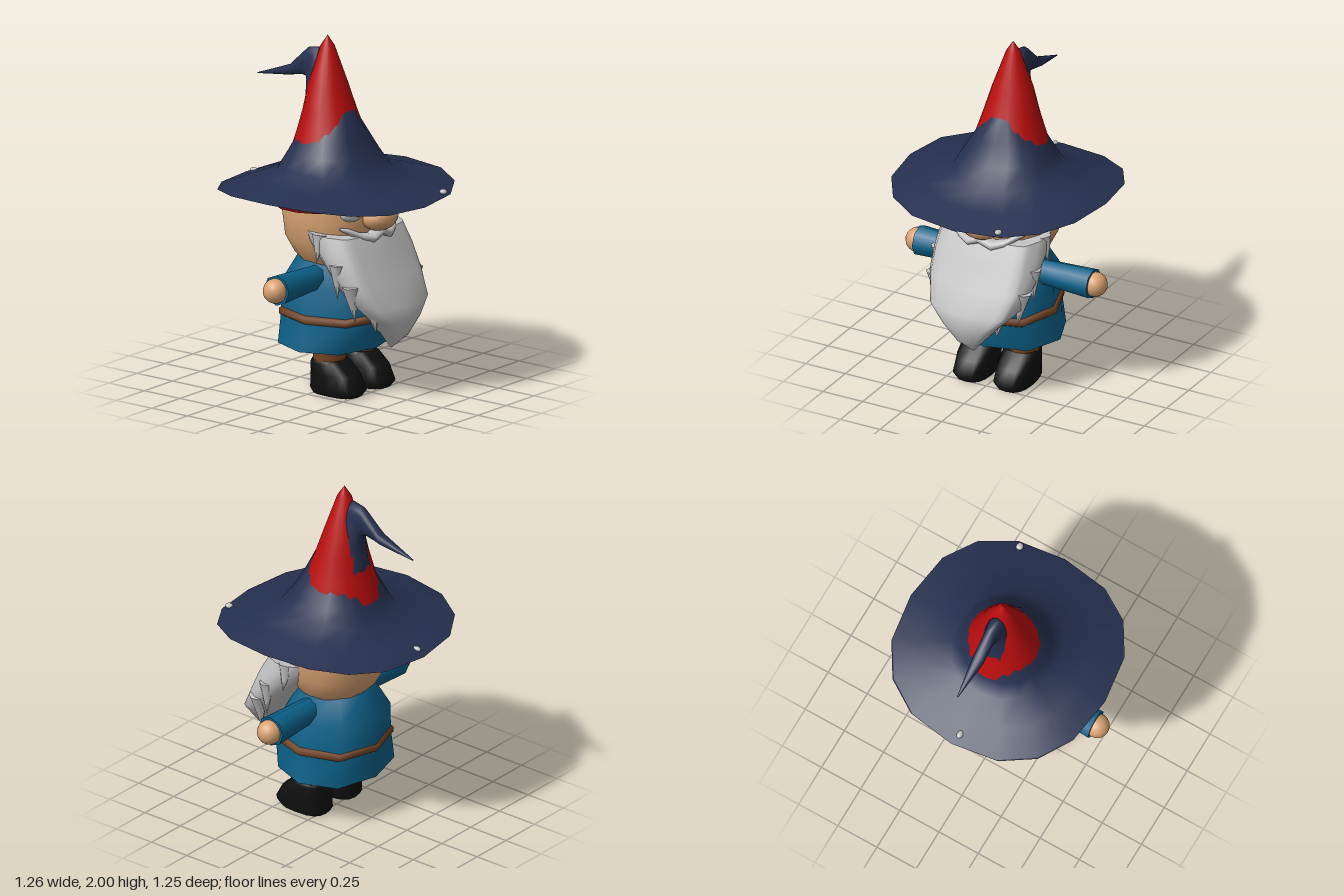
import * as THREE from 'three';

const mat = (name, color, side = THREE.FrontSide) => {
  const m = new THREE.MeshStandardMaterial({ color, side });
  m.name = name;
  return m;
};

// Skin rings, listed from bottom to top: [front z, front y, back z, back y, half width, side lift]
function loft(rings, { sides = 16, power = 2, caps = true, ripple = 0, waves = 8 } = {}) {
  const pos = [], idx = [], e = 2 / power;
  const bend = t => Math.sign(t) * Math.abs(t) ** e;
  const addRing = ([zf, yf, zb, yb, rx, lift = 0]) => {
    for (let j = 0; j < sides; j++) {
      const a = (j / sides) * Math.PI * 2, k = 1 + ripple * Math.cos(a * waves);
      const s = bend(Math.sin(a)) * k, c = bend(Math.cos(a)) * k;
      pos.push(rx * s, (yf + yb) / 2 + c * (yf - yb) / 2 + lift * Math.sin(a) ** 2, (zf + zb) / 2 + c * (zf - zb) / 2);
    }
  };
  rings.forEach(addRing);
  for (let i = 0; i < rings.length - 1; i++) {
    for (let j = 0; j < sides; j++) {
      const a = i * sides + j, b = i * sides + (j + 1) % sides;
      idx.push(a, b, b + sides, a, b + sides, a + sides);
    }
  }
  if (caps) {
    [rings[0], rings[rings.length - 1]].forEach((r, top) => {
      const start = pos.length / 3;
      addRing(r);
      pos.push(0, (r[1] + r[3]) / 2, (r[0] + r[2]) / 2);
      for (let j = 0; j < sides; j++) {
        const a = start + j, b = start + (j + 1) % sides;
        idx.push(...(top ? [a, b, start + sides] : [b, a, start + sides]));
      }
    });
  }
  const g = new THREE.BufferGeometry();
  g.setAttribute('position', new THREE.Float32BufferAttribute(pos, 3));
  g.setIndex(idx);
  g.computeVertexNormals();
  return g;
}

export function createModel() {
  const group = new THREE.Group();
  const red = mat('red felt', 0xbb0d0d);
  const navy = mat('navy felt', 0x25304f, THREE.DoubleSide);
  const teal = mat('teal cloth', 0x0b6189, THREE.DoubleSide);
  const skin = mat('skin', 0xd9a271);
  const brown = mat('brown leather', 0x734322);
  const black = mat('black boot', 0x0f0f0f);
  const grey = mat('beard grey', 0xc2c2c2, THREE.DoubleSide);

  const add = (name, geometry, material, x = 0, y = 0, z = 0) => {
    const m = new THREE.Mesh(geometry, material);
    m.name = name;
    m.position.set(x, y, z);
    group.add(m);
    return m;
  };
  const ball = (name, material, p, s) => {
    const m = add(name, new THREE.SphereGeometry(1, 16, 12), material, ...p);
    m.scale.set(...s);
    return m;
  };

  // Body, tunic and belt
  add('body', loft([[0.13, 0.24, -0.13, 0.24, 0.14], [0.21, 0.3, -0.21, 0.3, 0.23], [0.2, 0.5, -0.2, 0.5, 0.23],
    [0.15, 0.76, -0.15, 0.76, 0.17]], { sides: 12 }), skin);
  add('tunic', loft([[0.285, 0.265, -0.28, 0.265, 0.33], [0.325, 0.44, -0.28, 0.44, 0.3], [0.27, 0.62, -0.28, 0.62, 0.28],
    [0.185, 0.77, -0.19, 0.77, 0.2]], { sides: 8, power: 2.4, caps: false }), teal);
  add('belt', loft([[0.32, 0.42, -0.275, 0.42, 0.3], [0.335, 0.43, -0.29, 0.43, 0.315], [0.335, 0.46, -0.29, 0.46, 0.315],
    [0.31, 0.47, -0.275, 0.47, 0.295]], { sides: 8, power: 2.4, caps: false }), brown);

  // Head and nose
  add('head', loft([[0.17, 0.72, -0.15, 0.72, 0.18], [0.22, 0.78, -0.21, 0.78, 0.23], [0.28, 0.88, -0.265, 0.88, 0.28],
    [0.3, 1.02, -0.28, 1.02, 0.3], [0.29, 1.15, -0.27, 1.15, 0.29]], { sides: 16, power: 2.2 }), skin);
  ball('nose', skin, [0, 1.025, 0.31], [0.12, 0.077, 0.092]);

  // Paired parts: eyes, arms, hands, legs and boots
  const boot = loft([[0.26, 0.005, -0.03, 0.005, 0.09], [0.29, 0.045, -0.045, 0.03, 0.106], [0.245, 0.125, -0.04, 0.13, 0.104],
    [0.17, 0.185, -0.037, 0.185, 0.1], [0.15, 0.2, -0.03, 0.2, 0.09]], { sides: 16, power: 2.7 });
  for (const s of [-1, 1]) {
    ball('eyeWhite', grey, [s * 0.165, 1.06, 0.243], [0.068, 0.042, 0.03]).rotation.y = s * 0.5;
    ball('iris', brown, [s * 0.152, 1.068, 0.262], [0.036, 0.034, 0.02]).rotation.y = s * 0.5;
    const sleeve = add('sleeve', new THREE.CylinderGeometry(0.087, 0.07, 0.35, 8), teal, s * 0.375, 0.67, 0.02);
    sleeve.rotation.z = -s * Math.PI / 2;
    ball('hand', skin, [s * 0.56, 0.67, 0.02], [0.07, 0.07, 0.07]);
    add('leg', new THREE.CylinderGeometry(0.092, 0.092, 0.22, 12), brown, s * 0.13, 0.27, 0.06);
    add('boot', boot, black, s * 0.128, 0, 0);
  }

  // Beard mass with a wavy surface, plus pointed locks along its rim
  add('beard', loft([[0.39, 0.285, 0.39, 0.285, 0.001], [0.475, 0.36, 0.35, 0.38, 0.075], [0.51, 0.46, 0.28, 0.5, 0.17],
    [0.505, 0.55, 0.2, 0.62, 0.27], [0.43, 0.68, 0.12, 0.76, 0.315], [0.37, 0.82, 0.02, 0.87, 0.32],
    [0.31, 0.935, -0.06, 0.965, 0.31]], { sides: 32, power: 3, ripple: 0.025 }), grey);
  const locks = [[0.16, 0.5, 0.4, 0.06, 0.2, 0.1], [0.26, 0.58, 0.33, 0.055, 0.22, 0.15], [0.3, 0.7, 0.25, 0.045, 0.2, 0],
    [0.305, 0.87, 0.12, 0.045, 0.16, -0.2]];
  for (const s of [-1, 1]) {
    for (const [x, y, z, r, h, tilt] of locks) {
      const lock = add('beardLock', new THREE.ConeGeometry(r, h, 7), grey, s * x, y, z);
      lock.rotation.set(Math.PI, 0, s * tilt);
    }
  }

  // Moustache: a long ellipsoid bent round the face with raised ends
  const moustache = new THREE.SphereGeometry(1, 24, 10);
  moustache.rotateZ(Math.PI / 2);
  const p = moustache.attributes.position;
  for (let i = 0; i < p.count; i++) {
    const x = p.getX(i) * 0.24, u = Math.abs(p.getX(i));
    p.setXYZ(i, x, p.getY(i) * 0.03 - 0.035 * Math.sin(u * 4.5), p.getZ(i) * 0.045 - x * x * 1.7);
  }
  moustache.computeVertexNormals();
  add('moustache', moustache, grey, 0, 0.95, 0.31);

  // Inner red hat: rolled band and tall cone
  add('hatBand', loft([[0.29, 1.1, -0.28, 1.05, 0.29], [0.345, 1.09, -0.34, 1.045, 0.345], [0.357, 1.15, -0.352, 1.11, 0.355],
    [0.32, 1.19, -0.32, 1.17, 0.32]]), red);
  add('redCone', loft([[0.24, 1.26, -0.27, 1.26, 0.25], [0.2, 1.36, -0.258, 1.34, 0.228], [0.155, 1.46, -0.217, 1.46, 0.195],
    [0.107, 1.58, -0.185, 1.58, 0.158], [0.06, 1.72, -0.16, 1.72, 0.118], [-0.015, 1.94, -0.095, 1.94, 0.04],
    [-0.055, 2, -0.055, 2, 0.002]], { sides: 20 }), red);

  // Outer navy hat: underside, then brim, crown and the bent tip
  const edge = [0.628, 1.13, -0.62, 1.12, 0.62, 0.05];
  add('brimUnderside', loft([[0.3, 1.155, -0.3, 1.14, 0.3], edge], { power: 2.4, caps: false }), navy);
  add('outerHat', loft([edge, [0.46, 1.185, -0.46, 1.18, 0.46, 0.04], [0.31, 1.235, -0.32, 1.235, 0.295, 0.035],
    [0.225, 1.35, -0.26, 1.335, 0.25, 0.01], [0.165, 1.46, -0.212, 1.43, 0.194], [0.113, 1.58, -0.195, 1.57, 0.115],
    [-0.02, 1.74, -0.182, 1.64, 0.085], [-0.09, 1.88, -0.185, 1.71, 0.055], [-0.11, 1.922, -0.195, 1.74, 0.045],
    [-0.185, 1.91, -0.225, 1.745, 0.035], [-0.31, 1.79, -0.335, 1.725, 0.035], [-0.545, 1.7, -0.545, 1.695, 0.004]],
  { power: 2.3, caps: false }), navy);

  // Two small pale flecks on the brim
  ball('brimFleck', grey, [-0.02, 1.143, -0.555], [0.017, 0.015, 0.025]);
  ball('brimFleck', grey, [0.25, 1.153, 0.56], [0.02, 0.015, 0.022]);

  return group;
}
